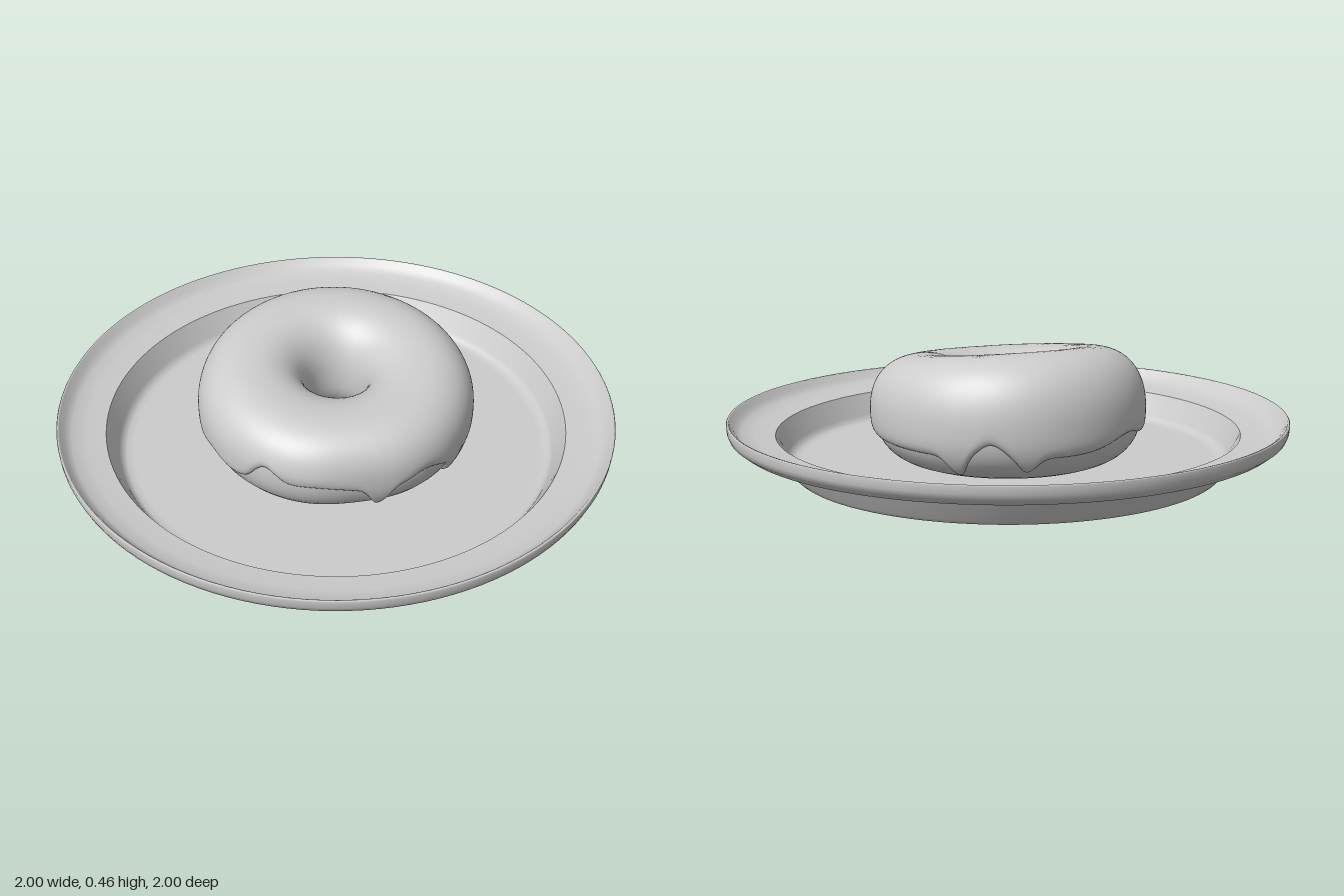
import * as THREE from 'three';

const DEG = Math.PI / 180;
const RING = 0.3, HALF = 0.18, MID = 0.22, LOW = 0.18, POWER = 0.88;

const bump = (az, centre, width) => {
  const d = ((az - centre + 540) % 360) - 180;
  return Math.exp(-((d / width) ** 2));
};
const signedPow = (v, p) => Math.sign(v) * Math.abs(v) ** p;

// Icing hem: [azimuth from +z towards +x, height change, width], drips are negative
const HEM = [
  [25, 0.06, 28], [7, 0.07, 7], [56, -0.08, 4.5], [77, 0.06, 13], [97, -0.07, 4.5],
  [184, -0.07, 5], [199, 0.05, 7], [214, -0.05, 5], [265, 0.04, 16], [335, 0.03, 10],
];
const hemHeight = (az) => HEM.reduce((y, [c, a, w]) => y + a * bump(az, c, w), 0.14);

// Point on the lopsided ring; theta runs from the outer side over the top
function ringPoint(az, theta, offset) {
  const a = az * DEG;
  const top = 0.41 - 0.04 * Math.cos((az - 48) * DEG) - MID;
  const s = signedPow(Math.sin(theta), POWER), c = signedPow(Math.cos(theta), POWER);
  const flat = c > 0 ? 0.02 * bump(az, 47, 18) * c : 0;
  const r = RING + (HALF + offset) * c - flat;
  const y = MID + ((s > 0 ? top : LOW) + offset) * s;
  return [r * Math.sin(a), y, r * Math.cos(a)];
}

// Smooth grid closed around the azimuth, and optionally around the section
function ringGeometry(around, rows, closed, point) {
  const pos = [], index = [];
  for (let j = 0; j < rows; j++)
    for (let i = 0; i < around; i++) pos.push(...point((i / around) * 360, j));
  for (let j = 0; j < (closed ? rows : rows - 1); j++)
    for (let i = 0; i < around; i++) {
      const i2 = (i + 1) % around, j2 = (j + 1) % rows;
      const a = j * around + i, b = j * around + i2, c = j2 * around + i2, d = j2 * around + i;
      index.push(a, b, c, a, c, d);
    }
  const geo = new THREE.BufferGeometry();
  geo.setAttribute('position', new THREE.Float32BufferAttribute(pos, 3));
  geo.setIndex(index);
  geo.computeVertexNormals();
  return geo;
}

export function createModel() {
  const group = new THREE.Group();
  const grey = new THREE.MeshStandardMaterial({ color: 0xcccccc });
  grey.name = 'plain grey';

  const add = (name, geo) => {
    const mesh = new THREE.Mesh(geo, grey);
    mesh.name = name;
    group.add(mesh);
  };

  // Plate: underside, rim and well in one turned profile; repeated points make creases
  const profile = [
    [0, 0], [0.4, 0.004], [0.75, 0.008], [0.77, 0.01], [0.785, 0.025],
    [0.835, 0.115], [0.835, 0.115], [0.845, 0.12], [0.93, 0.122], [0.965, 0.13],
    [0.99, 0.15], [0.998, 0.17], [1, 0.195], [0.997, 0.2], [0.99, 0.198],
    [0.975, 0.175], [0.95, 0.158], [0.9, 0.147], [0.83, 0.142], [0.83, 0.142],
    [0.79, 0.065], [0.78, 0.05], [0.765, 0.042], [0.74, 0.04], [0, 0.035],
  ].map(([x, y]) => new THREE.Vector2(x, y));
  add('plate', new THREE.LatheGeometry(profile, 128));

  // Dough ring
  const sections = 40;
  add('dough', ringGeometry(144, sections, true,
    (az, j) => ringPoint(az, (j / sections) * Math.PI * 2, 0)));

  // Icing shell with a rounded, dripping hem
  const rows = 44;
  add('icing', ringGeometry(288, rows, false, (az, j) => {
    const drop = Math.min(0.98, Math.max(-0.9, (MID - hemHeight(az)) / LOW));
    const start = -Math.asin(signedPow(drop, 1 / POWER));
    const s = (j / (rows - 1)) ** 1.5;
    const lip = Math.min(1, s / 0.05, (1 - s) / 0.12);
    const offset = 0.017 * Math.sqrt(1 - (1 - lip) ** 2) - 0.002;
    return ringPoint(az, start + (Math.PI + 0.7 - start) * s, offset);
  }));

  return group;
}
